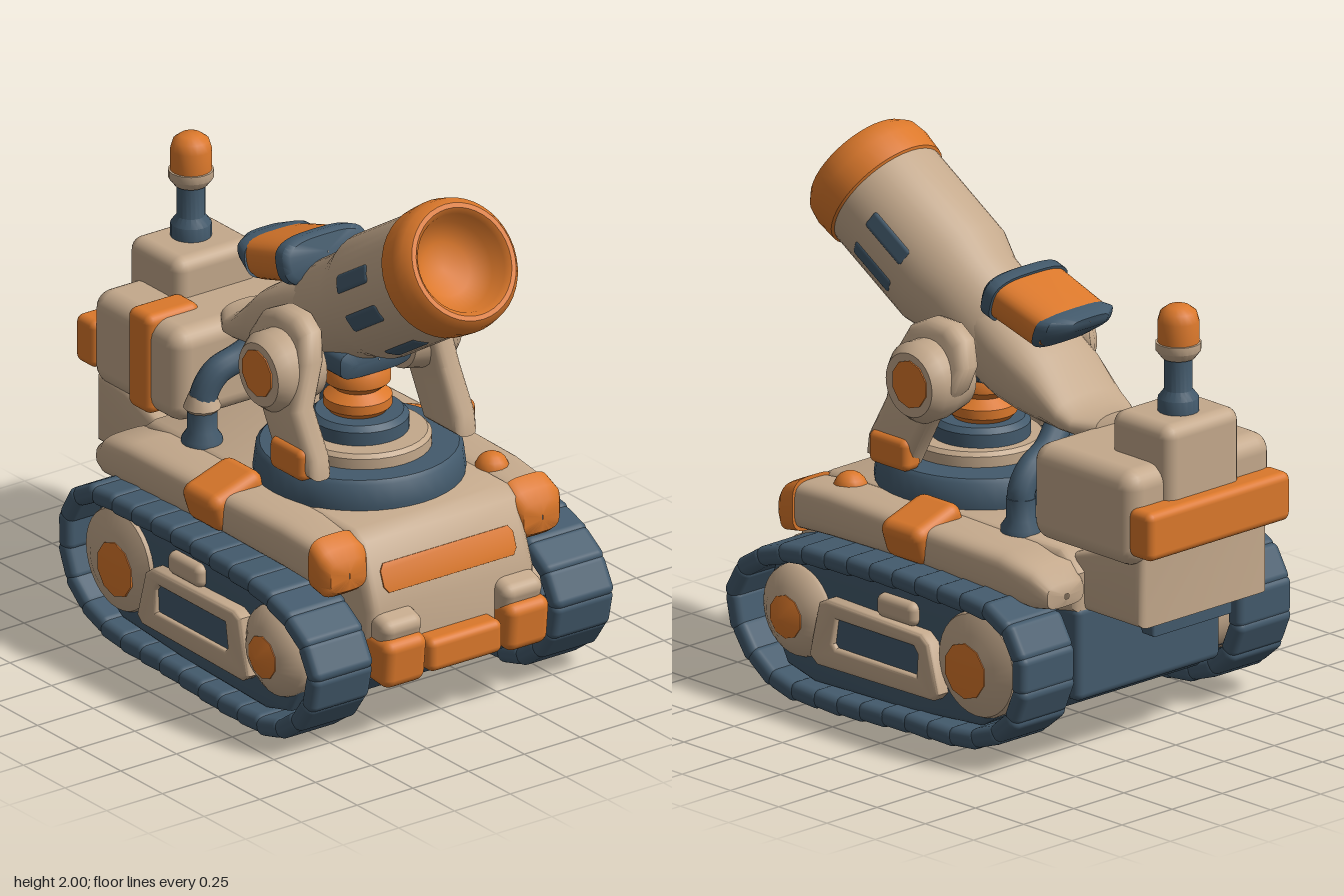
import * as THREE from 'three';
import { toCreasedNormals } from 'three/addons/utils/BufferGeometryUtils.js';
import { RoundedBoxGeometry } from 'three/addons/geometries/RoundedBoxGeometry.js';

const material = (name, color) => Object.assign(new THREE.MeshStandardMaterial({ color }), { name });

export function createModel() {
  const model = new THREE.Group();
  model.name = 'trackedCannon';
  const beige = material('beige', 0xc4a98c);
  const orange = material('orange', 0xdb782b);
  const slate = material('slate', 0x435a6c);

  const add = (name, geo, mat, pos = [0, 0, 0], rot = [0, 0, 0], parent = model) => {
    const mesh = new THREE.Mesh(geo, mat);
    mesh.name = name;
    mesh.position.set(...pos);
    mesh.rotation.set(...rot);
    parent.add(mesh);
    return mesh;
  };
  const box = (w, h, d, r = 0.03) => new RoundedBoxGeometry(w, h, d, 3, r);
  const lathe = (pts, n = 32) =>
    toCreasedNormals(new THREE.LatheGeometry(pts.map(p => new THREE.Vector2(...p)), n), 0.7);
  // Side profile in x/y with rounded edges, centred on z
  const plate = (pts, depth, bevel, hole) => {
    const shape = new THREE.Shape(pts.map(p => new THREE.Vector2(...p)));
    if (hole) shape.holes.push(new THREE.Path(hole.map(p => new THREE.Vector2(...p))));
    const geo = new THREE.ExtrudeGeometry(shape, {
      depth: depth - 2 * bevel, bevelThickness: bevel, bevelSize: bevel,
      bevelOffset: -bevel, bevelSegments: 3,
    });
    geo.translate(0, 0, bevel - depth / 2);
    return toCreasedNormals(geo, 0.75);
  };
  // Skin through rounded sections [x, yLow, yHigh, halfWidth]; a lower power is squarer
  const loft = (sections, power = 0.8, n = 32) => {
    const pos = [], idx = [];
    sections.forEach(([x, lo, hi, w], i) => {
      for (let j = 0; j < n; j++) {
        const a = j / n * Math.PI * 2, c = Math.cos(a), s = Math.sin(a);
        pos.push(x, (lo + hi) / 2 + (hi - lo) / 2 * Math.sign(s) * Math.abs(s) ** power,
          w * Math.sign(c) * Math.abs(c) ** power);
        if (i === sections.length - 1) continue;
        const k = (j + 1) % n, p = i * n, q = p + n;
        idx.push(p + j, q + j, p + k, q + j, q + k, p + k);
      }
    });
    const geo = new THREE.BufferGeometry();
    geo.setAttribute('position', new THREE.Float32BufferAttribute(pos, 3));
    geo.setIndex(idx);
    return toCreasedNormals(geo, 0.8);
  };
  const curve = (pts, closed = false) =>
    new THREE.CatmullRomCurve3(pts.map(p => new THREE.Vector3(...p)), closed);

  // Hull
  add('hull', plate([[-0.48, 0.22], [-0.48, 0.52], [-0.61, 0.55], [-0.61, 0.7], [-0.52, 0.775], [0.68, 0.775],
    [0.74, 0.74], [0.83, 0.5], [0.83, 0.27], [0.76, 0.2], [-0.44, 0.2]], 0.74, 0.04), beige);
  add('rearHull', box(0.18, 0.36, 0.72), slate, [-0.525, 0.39, 0]);
  add('bellyPlate', plate([[-0.58, 0.23], [0.8, 0.23], [0.74, 0.16], [-0.5, 0.16]], 0.72, 0.015), slate);
  add('frontStripe', plate([[-0.28, -0.055], [0.28, -0.055], [0.297, -0.03], [0.297, 0.03], [0.28, 0.055],
    [-0.28, 0.055], [-0.297, 0.03], [-0.297, -0.03]], 0.009, 0.002), orange, [0.792, 0.605, 0], [0, Math.PI / 2, 0])
    .rotation.set(0, Math.PI / 2, 0.359, 'ZYX');
  add('bumperCentre', box(0.18, 0.13, 0.33), orange, [0.82, 0.3, 0]);
  add('deckButton', new THREE.SphereGeometry(0.064, 14, 10), orange, [0.52, 0.76, -0.4]);

  // Track path, centred on the band
  const path = curve([[-0.5, 0.572, 0], [-0.605, 0.47, 0], [-0.617, 0.31, 0], [-0.55, 0.18, 0],
    [-0.38, 0.09, 0], [0, 0.062, 0], [0.4, 0.04, 0], [0.64, 0.06, 0], [0.8, 0.175, 0], [0.857, 0.33, 0],
    [0.79, 0.455, 0], [0.6, 0.548, 0], [0.3, 0.583, 0], [-0.2, 0.595, 0]], true);
  const LINKS = 30;
  const linkGeo = box(path.getLength() / LINKS * 1.3, 0.072, 0.27, 0.03);

  for (const s of [1, -1]) {
    // Tracks and running gear
    const track = new THREE.Group();
    track.name = s > 0 ? 'leftTrack' : 'rightTrack';
    model.add(track);
    for (let i = 0; i < LINKS; i++) {
      const p = path.getPointAt(i / LINKS), t = path.getTangentAt(i / LINKS);
      add('trackLink', linkGeo, slate, [p.x, p.y, s * 0.54], [0, 0, Math.atan2(t.y, t.x) + 0.06], track);
    }
    add('trackCore', plate([[-0.5, 0.52], [-0.45, 0.57], [0.3, 0.56], [0.7, 0.49], [0.76, 0.33],
      [0.64, 0.11], [0.5, 0.075], [0, 0.09], [-0.36, 0.12], [-0.5, 0.21]], 0.17, 0.02),
      slate, [0, 0, s * 0.52], [0, 0, 0], track);
    for (const [x, y, r, face, tip, cx, cy, cr] of [[-0.36, 0.355, 0.2, 0.652, 0.668, -0.335, 0.335, 0.105],
      [0.575, 0.33, 0.175, 0.67, 0.705, 0.575, 0.32, 0.082]]) {
      const rot = [s * Math.PI / 2, 0, 0];
      add('wheel', lathe([[0, 0.38], [r, 0.38], [r, 0.6], [r * 0.96, 0.62], [cr + 0.02, face], [0, face]]),
        beige, [x, y, 0], rot, track);
      add('wheelCap', lathe([[cr, face - 0.01], [cr, face + 0.004], [0, tip]], 10), orange, [cx, cy, 0], rot, track);
    }
    add('sidePanel', plate([[-0.2, 0.21], [-0.17, 0.18], [0.43, 0.17], [0.47, 0.2], [0.42, 0.41],
      [0.38, 0.43], [-0.11, 0.42], [-0.15, 0.39]], 0.1, 0.015,
      [[-0.085, 0.255], [-0.09, 0.34], [-0.07, 0.365], [0.33, 0.365], [0.345, 0.27], [0.33, 0.255]]),
      beige, [0, 0, s * 0.61], [0, 0, 0], track);
    add('panelInset', new THREE.BoxGeometry(0.5, 0.16, 0.05), slate, [0.13, 0.305, s * 0.615], [0, 0, 0], track);
    add('trackBracket', box(0.2, 0.09, 0.12), beige, [0.05, 0.465, s * 0.58], [0, 0, 0], track);

    // Fenders and bumper lamps
    add('fender', loft([[-0.632, 0.63, 0.65, 0.01], [-0.625, 0.6, 0.69, 0.09], [-0.56, 0.59, 0.745, 0.12],
      [-0.4, 0.595, 0.772, 0.125], [0.05, 0.615, 0.778, 0.125], [0.5, 0.6, 0.782, 0.112],
      [0.69, 0.585, 0.765, 0.1]], 0.55), beige, [0, 0, s * 0.43]);
    add('fenderTip', loft([[0.67, 0.65, 0.66, 0.001], [0.675, 0.575, 0.78, 0.108], [0.74, 0.565, 0.75, 0.108],
      [0.775, 0.59, 0.71, 0.08], [0.782, 0.64, 0.66, 0.001]], 0.55), orange, [0, 0, s * 0.433]);
    add('fenderClamp', box(0.215, 0.155, 0.245, 0.045), orange, [0.075, 0.728, s * 0.465], [s * 0.32, 0, 0]);
    add('lampHousing', box(0.2, 0.16, 0.18, 0.04), beige, [0.79, 0.42, s * 0.27], [0, 0, -0.3]);
    add('bumperLamp', box(0.17, 0.19, 0.19, 0.04), orange, [0.835, 0.32, s * 0.275], [0, 0, -0.1]);

    // Cradle arms, leaning inward toward the top
    const arm = plate([[0.26, 0.89], [0.48, 0.89], [0.47, 0.97], [0.38, 1.13], [0.375, 1.3], [0.33, 1.4],
      [0.25, 1.44], [0.14, 1.44], [0.06, 1.4], [0.015, 1.31], [0.035, 1.22], [0.13, 1.13]], 0.1, 0.035);
    const v = arm.attributes.position;
    for (let i = 0; i < v.count; i++) {
      v.setZ(i, v.getZ(i) + s * (0.327 - 0.3 * Math.max(0, v.getY(i) - 1.15)));
    }
    add('cradleArm', toCreasedNormals(arm, 0.75), beige);
    add('pivotHub', lathe([[0, 0.2], [0.13, 0.2], [0.152, 0.3], [0.152, 0.37], [0.12, 0.412], [0, 0.412]]),
      beige, [0.205, 1.23, 0], [s * Math.PI / 2, 0, 0]);
    add('pivotCap', new THREE.CylinderGeometry(0.09, 0.09, 0.01, 10), orange,
      [0.2, 1.235, s * 0.412], [Math.PI / 2, 0, 0]);
    add('armFoot', box(0.2, 0.125, 0.09), orange, [0.34, 0.94, s * 0.353]);

    // Hose fittings on the deck
    add('hoseBase', lathe([[0, 0.74], [0.075, 0.74], [0.075, 0.79], [0.055, 0.82], [0.055, 0.9], [0, 0.9]], 20),
      slate, [-0.27, 0, s * 0.31]);
  }
  // Hoses running inward below the barrel tail
  add('hoseCollar', lathe([[0, 0.89], [0.05, 0.89], [0.07, 0.91], [0.05, 0.96], [0, 0.96]], 12), beige, [-0.27, 0, 0.31]);
  add('leftHose', new THREE.TubeGeometry(curve([[-0.27, 0.86, 0.31], [-0.265, 0.96, 0.305],
    [-0.25, 1.04, 0.26], [-0.235, 1.08, 0.17], [-0.22, 1.13, 0.06]]), 28, 0.052, 14), slate);
  add('rightHose', new THREE.TubeGeometry(curve([[-0.27, 0.86, -0.31], [-0.27, 0.93, -0.305],
    [-0.265, 0.99, -0.26], [-0.25, 1.04, -0.16], [-0.22, 1.13, -0.06]]), 28, 0.052, 14), slate);

  // Turntable and bellows
  add('turntable', lathe([[0, 0.75], [0.38, 0.75], [0.385, 0.79], [0.375, 0.87], [0.36, 0.885], [0, 0.885]], 40),
    slate, [0.26, 0, 0]);
  add('turntableDisc', lathe([[0, 0.88], [0.25, 0.88], [0.25, 0.925], [0.235, 0.94], [0, 0.94]]), beige, [0.28, 0, 0]);
  add('bellowsBase', lathe([[0, 0.93], [0.18, 0.93], [0.18, 0.99], [0.16, 1.01], [0, 1.01]]), slate, [0.26, 0, 0]);
  add('bellows', lathe([[0.09, 0.99], [0.125, 1.03], [0.125, 1.065], [0.085, 1.095], [0.12, 1.125],
    [0.12, 1.165], [0.09, 1.21]]), orange, [0.25, 0, 0]);
  add('bellowsCollar', loft([[0.1, 1.24, 1.25, 0.001], [0.11, 1.185, 1.3, 0.16], [0.36, 1.185, 1.3, 0.16],
    [0.38, 1.24, 1.25, 0.12], [0.38, 1.24, 1.25, 0.001]], 0.5), slate);

  // Barrel, built along its own axis with the muzzle at the origin
  const barrel = new THREE.Group();
  barrel.name = 'barrel';
  barrel.position.set(0.888, 1.81, 0);
  barrel.rotation.z = THREE.MathUtils.degToRad(31.8) - Math.PI / 2;
  model.add(barrel);
  add('barrelTube', lathe([[0, -0.97], [0.17, -0.97], [0.2, -0.93], [0.205, -0.68], [0.237, -0.57],
    [0.237, -0.15], [0, -0.15]], 40), beige, [0, 0, 0], [0, 0, 0], barrel);
  add('muzzle', lathe([[0.23, -0.175], [0.247, -0.165], [0.252, -0.08], [0.243, -0.03], [0.218, 0],
    [0.2, 0], [0.182, -0.02], [0.165, -0.08], [0.1, -0.13], [0, -0.145]], 40), orange, [0, 0, 0], [0, 0, 0], barrel);
  for (const s of [1, -1]) for (const deg of [19, -18, -67]) {
    const a = THREE.MathUtils.degToRad(deg), r = 0.223;
    const pos = [-Math.sin(a) * r, -0.395, s * Math.cos(a) * r];
    add('barrelVent', box(0.075, 0.22, 0.036, 0.017), slate, pos, [0, Math.atan2(pos[0], pos[2]), 0], barrel);
  }
  add('barrelTail', loft([[-0.45, 1.14, 1.145, 0.001], [-0.44, 1.1, 1.19, 0.1], [-0.36, 1.1, 1.195, 0.155],
    [-0.3, 1.1, 1.23, 0.17], [-0.18, 1.1, 1.355, 0.185], [-0.08, 1.11, 1.42, 0.195],
    [0.02, 1.13, 1.48, 0.2], [0.16, 1.18, 1.55, 0.19]]), beige);

  // Sight saddle on top of the barrel
  const sight = new THREE.Group();
  sight.name = 'sight';
  sight.position.set(-0.05, 1.515, 0);
  sight.rotation.z = 0.3;
  model.add(sight);
  add('sightBody', loft([[-0.18, -0.06, 0.075, 0.165], [-0.13, -0.09, 0.078, 0.17], [0.08, -0.09, 0.078, 0.18]], 0.65),
    orange, [0, 0, 0], [0, 0, 0], sight);
  add('sightFrontRing', loft([[0.065, 0, 0.01, 0.001], [0.065, -0.1, 0.088, 0.19], [0.11, -0.1, 0.088, 0.19],
    [0.13, -0.08, 0.07, 0.17], [0.13, 0, 0.01, 0.001]], 0.65), slate, [0, 0, 0], [0, 0, 0], sight);
  add('sightRearHood', loft([[-0.25, 0.06, 0.065, 0.001], [-0.25, 0.035, 0.082, 0.09], [-0.2, -0.025, 0.084, 0.165],
    [-0.15, -0.085, 0.07, 0.176], [-0.14, -0.01, 0, 0.001]], 0.65), slate, [0, 0, 0], [0, 0, 0], sight);

  // Rear pack
  add('packBody', box(0.53, 0.365, 0.72, 0.07), beige, [-0.645, 0.97, -0.02]);
  add('packTower', box(0.31, 0.46, 0.37, 0.05), beige, [-0.785, 1.07, -0.035]);
  add('packMount', plate([[-0.9, 0.55], [-0.9, 0.82], [-0.72, 0.82], [-0.5, 0.74], [-0.5, 0.55]], 0.64, 0.03), beige);
  add('packMountFoot', plate([[-0.84, 0.57], [-0.74, 0.57], [-0.78, 0.48], [-0.84, 0.48]], 0.4, 0.01), slate);
  add('packStrap', box(0.14, 0.39, 0.24, 0.035), orange, [-0.6, 0.978, 0.235]);
  add('packRearBar', box(0.12, 0.185, 0.71, 0.03), orange, [-0.94, 0.93, -0.015]);

  // Beacon
  const beaconAt = [-0.805, 0, -0.04];
  add('beaconStalk', lathe([[0, 1.28], [0.075, 1.28], [0.075, 1.35], [0.052, 1.38], [0.052, 1.52], [0, 1.52]], 20), slate, beaconAt);
  add('beaconCollar', lathe([[0, 1.5], [0.06, 1.5], [0.083, 1.53], [0.083, 1.56], [0, 1.57]], 20), beige, beaconAt);
  add('beaconLamp', lathe([[0.076, 1.555], [0.076, 1.64], [0.066, 1.675], [0.04, 1.695], [0, 1.7]], 20), orange, beaconAt);

  return model;
}
